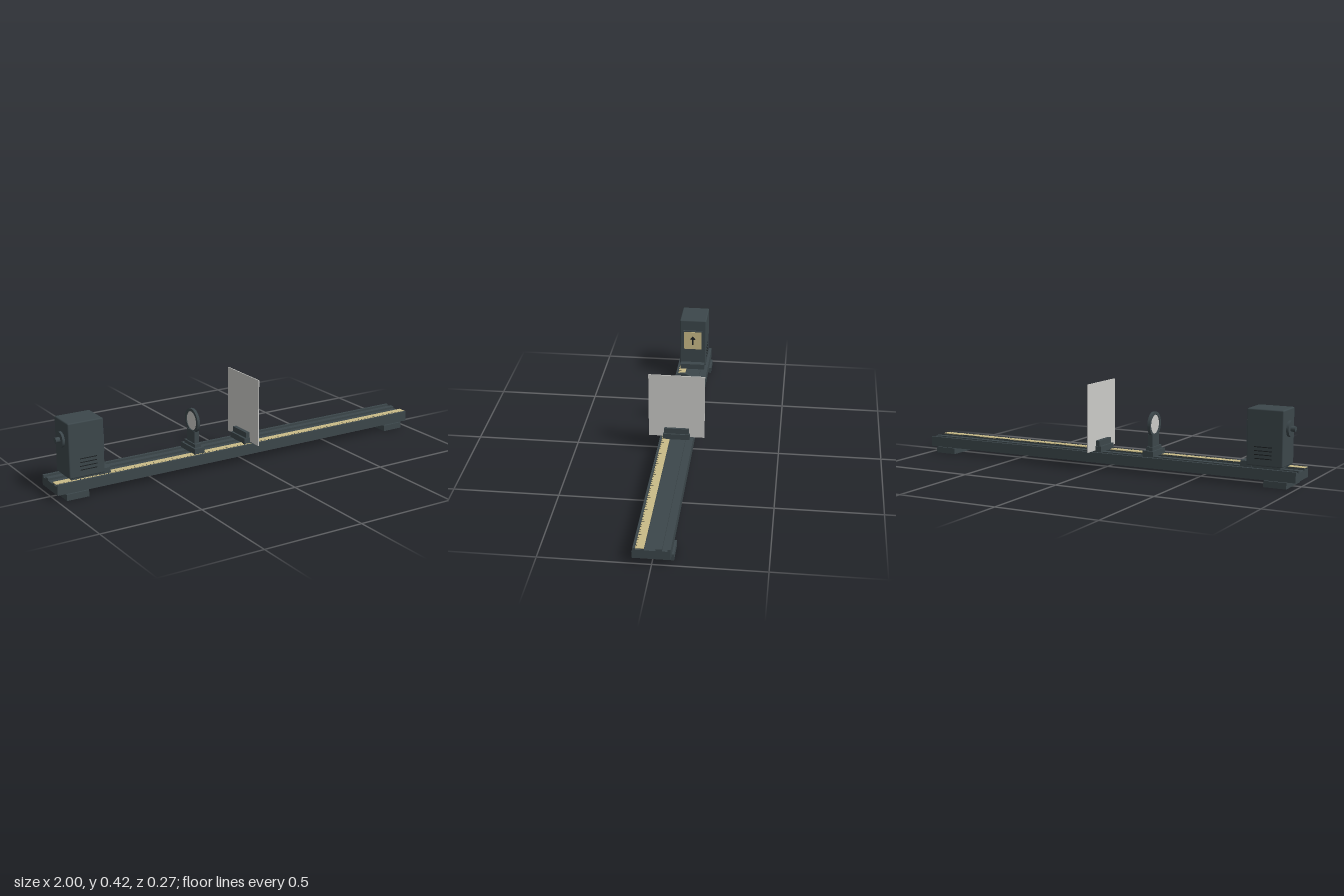
import * as THREE from 'three';
import { mergeGeometries } from 'three/addons/utils/BufferGeometryUtils.js';
import { RoundedBoxGeometry } from 'three/addons/geometries/RoundedBoxGeometry.js';

const material = (name, color) => {
  const m = new THREE.MeshStandardMaterial({ color });
  m.name = name;
  return m;
};

export function createModel() {
  const metal = material('dark slate metal', 0x3c474b);
  const black = material('black marking', 0x1c2022);
  const tan = material('pale brass', 0xc9bb88);
  const pale = material('frosted screen', 0xcbcbc8);

  const model = new THREE.Group();
  model.name = 'opticalBench';
  const group = (name, parent = model) => {
    const g = new THREE.Group();
    g.name = name;
    parent.add(g);
    return g;
  };
  const add = (parent, name, geometry, mat, x = 0, y = 0, z = 0) => {
    const m = new THREE.Mesh(geometry, mat);
    m.name = name;
    m.position.set(x, y, z);
    parent.add(m);
    return m;
  };
  // Box given by its limits on each axis
  const box = (parent, name, mat, x0, x1, y0, y1, z0, z1) =>
    add(parent, name, new THREE.BoxGeometry(x1 - x0, y1 - y0, z1 - z0), mat,
      (x0 + x1) / 2, (y0 + y1) / 2, (z0 + z1) / 2);
  // Cylinder lying along x
  const disc = (parent, name, mat, r, x0, x1, y, z = 0) => {
    const geo = new THREE.CylinderGeometry(r, r, x1 - x0, 32).rotateZ(Math.PI / 2);
    return add(parent, name, geo, mat, (x0 + x1) / 2, y, z);
  };

  // Rail: ridged section extruded along x
  const bench = group('bench');
  const ridges = [[-0.082, -0.068], [-0.045, -0.018], [0.032, 0.047], [0.071, 0.082]];
  const section = new THREE.Shape();
  section.moveTo(0.082, 0.03);
  section.lineTo(-0.082, 0.03);
  for (const [a, b] of ridges) {
    section.lineTo(a, 0.07);
    section.lineTo(a, 0.08);
    section.lineTo(b, 0.08);
    section.lineTo(b, 0.07);
  }
  const railGeo = new THREE.ExtrudeGeometry(section, { depth: 2, bevelEnabled: false });
  railGeo.rotateY(-Math.PI / 2).translate(1, 0, 0);
  add(bench, 'rail', railGeo, metal);
  for (const x of [-0.96, 0.85]) box(bench, 'foot', metal, x, x + 0.11, 0, 0.03, -0.092, 0.092);

  // Scale strip with tick marks
  box(bench, 'scaleStrip', tan, -1, 1, 0.0775, 0.081, 0.032, 0.07);
  const ticks = [];
  for (let i = 1; i < 100; i++) {
    const length = i % 5 === 0 ? 0.014 : 0.006;
    ticks.push(new THREE.BoxGeometry(0.003, 0.001, length)
      .translate(-1 + i * 0.02, 0.0812, 0.07 - length / 2));
  }
  add(bench, 'scaleTicks', mergeGeometries(ticks), black);

  // Sliding carriage shared by the three fittings
  const carriage = (parent, x) =>
    box(parent, 'carriage', metal, x - 0.0275, x + 0.0275, 0.08, 0.108, -0.065, 0.065);

  // Lamp housing
  const lamp = group('lamp');
  carriage(lamp, -0.753);
  box(lamp, 'lampBase', metal, -0.92, -0.77, 0.08, 0.095, -0.06, 0.06);
  add(lamp, 'housing', new RoundedBoxGeometry(0.176, 0.263, 0.142, 2, 0.006), metal, -0.845, 0.2215, 0);
  for (const side of [-1, 1])
    for (let i = 0; i < 4; i++)
      box(lamp, 'ventSlot', black, -0.88, -0.795, 0.123 + i * 0.018, 0.127 + i * 0.018,
        side * 0.071 - 0.001, side * 0.071 + 0.001);
  disc(lamp, 'knobPlate', metal, 0.037, -0.945, -0.93, 0.262);
  disc(lamp, 'knob', metal, 0.013, -0.966, -0.943, 0.262);

  // Object plate with an arrow on the lamp front
  box(lamp, 'plateFrame', metal, -0.76, -0.748, 0.185, 0.295, -0.052, 0.052);
  box(lamp, 'objectPlate', tan, -0.748, -0.746, 0.19, 0.29, -0.047, 0.047);
  const arrow = new THREE.Shape();
  arrow.moveTo(0, 0.026);
  for (const [z, y] of [[-0.016, 0.006], [-0.004, 0.006], [-0.004, -0.024], [0.004, -0.024], [0.004, 0.006], [0.016, 0.006]])
    arrow.lineTo(z, y);
  const arrowGeo = new THREE.ExtrudeGeometry(arrow, { depth: 0.001, bevelEnabled: false }).rotateY(Math.PI / 2);
  add(lamp, 'arrow', arrowGeo, black, -0.746, 0.24, 0);

  // Lens in a ring on its holder
  const lens = group('lens');
  carriage(lens, -0.252);
  box(lens, 'holderFoot', metal, -0.27, -0.236, 0.108, 0.125, -0.05, 0.05);
  box(lens, 'holderBlock', metal, -0.263, -0.239, 0.12, 0.185, -0.036, 0.036);
  box(lens, 'holderLabel', tan, -0.239, -0.237, 0.17, 0.183, -0.034, 0.034);
  const ringShape = new THREE.Shape().absarc(0, 0, 0.06, 0, Math.PI * 2);
  ringShape.holes.push(new THREE.Path().absarc(0, 0, 0.046, 0, Math.PI * 2, true));
  const ringGeo = new THREE.ExtrudeGeometry(ringShape, { depth: 0.014, bevelEnabled: false, curveSegments: 32 });
  add(lens, 'lensRing', ringGeo.rotateY(Math.PI / 2), metal, -0.26, 0.23, 0);
  disc(lens, 'lensGlass', pale, 0.047, -0.256, -0.25, 0.23);

  // Screen in a slotted holder
  const screen = group('screen');
  carriage(screen, 0.03);
  box(screen, 'screenClamp', metal, 0.014, 0.05, 0.108, 0.135, -0.06, 0.06);
  box(screen, 'screenSheet', pale, 0.033, 0.038, 0.087, 0.418, -0.137, 0.137);

  return model;
}
